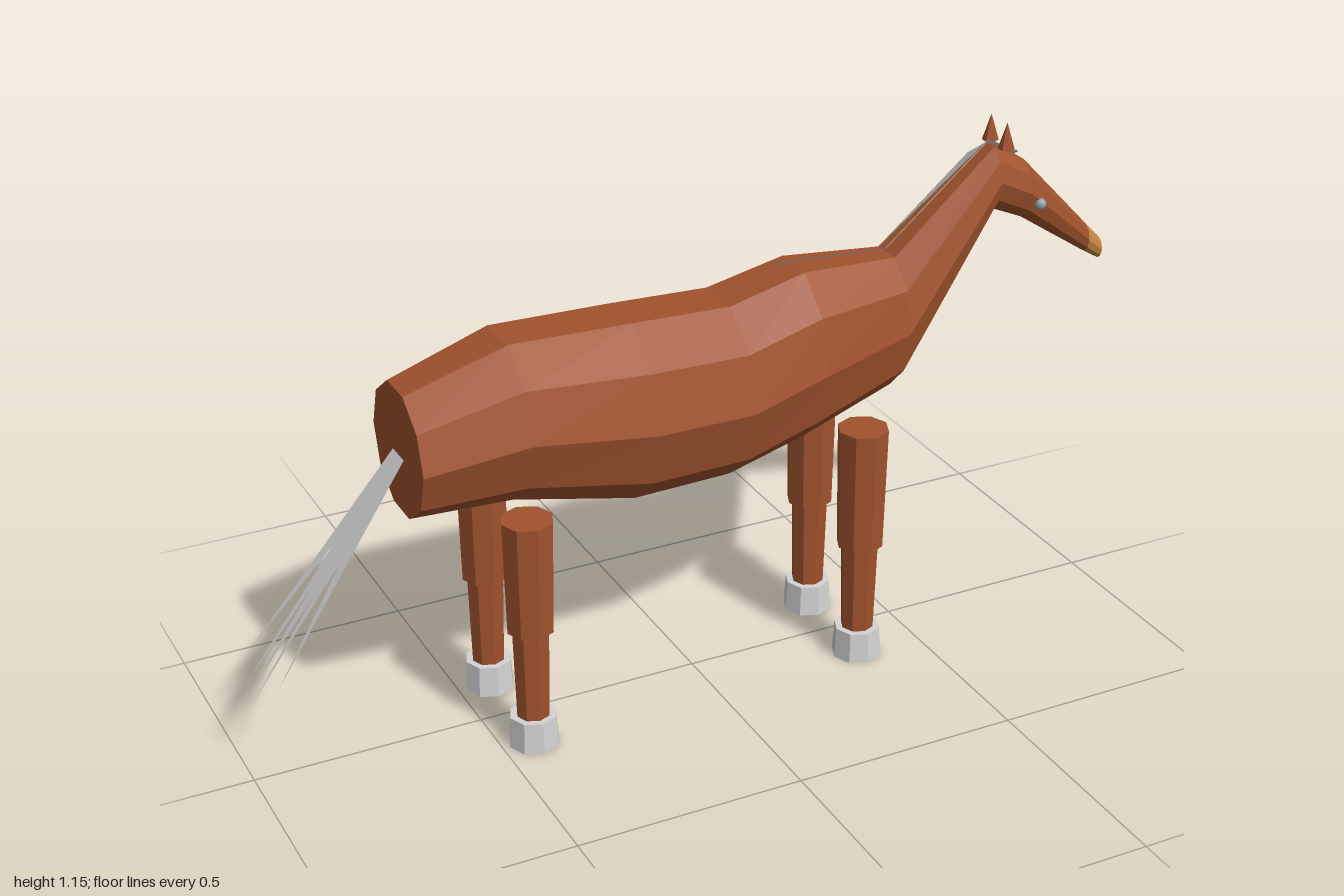
import * as THREE from 'three';

const colour = (name, hex, side = THREE.FrontSide) => {
  const m = new THREE.MeshStandardMaterial({ color: hex, side });
  m.name = name;
  return m;
};

// Facet a geometry so each face has its own normal
function flat(geo) {
  const g = geo.index ? geo.toNonIndexed() : geo;
  g.computeVertexNormals();
  return g;
}

// Ten-sided loft along x; each section is [x, top, bottom, halfWidth]
function loft(sections) {
  const N = 10, pos = [], idx = [];
  const last = sections.length - 1;
  const rise = Math.sin(Math.PI * 0.4);
  for (const [x, top, bottom, w] of sections) {
    for (let j = 0; j < N; j++) {
      const a = (j / N) * Math.PI * 2;
      pos.push(x, (top + bottom) / 2 + ((top - bottom) / 2 / rise) * Math.sin(a), w * Math.cos(a));
    }
  }
  for (let i = 0; i < last; i++) {
    for (let j = 0; j < N; j++) {
      const k = (j + 1) % N, a = i * N, b = a + N;
      idx.push(a + j, b + j, b + k, a + j, b + k, a + k);
    }
  }
  for (let j = 1; j < N - 1; j++) {
    idx.push(0, j, j + 1, last * N, last * N + j + 1, last * N + j);
  }
  const g = new THREE.BufferGeometry();
  g.setAttribute('position', new THREE.Float32BufferAttribute(pos, 3));
  g.setIndex(idx);
  return flat(g);
}

export function createModel() {
  const horse = new THREE.Group();
  horse.name = 'horse';
  const coat = colour('chestnut coat', 0xa0522d);
  const tan = colour('tan muzzle', 0xc68642);
  const hoofGrey = colour('hoof grey', 0xd3d3d3);
  const hair = colour('silver hair', 0xd3d3d3, THREE.DoubleSide);
  const eyeGrey = colour('eye grey', 0x8fa3a8);

  const add = (name, geo, mat, x = 0, y = 0, z = 0, parent = horse) => {
    const m = new THREE.Mesh(geo, mat);
    m.name = name;
    m.position.set(x, y, z);
    parent.add(m);
    return m;
  };

  // Body, neck and head in one run of cross-sections
  add('body', loft([
    [-0.65, 0.815, 0.545, 0.14],
    [-0.43, 0.885, 0.54, 0.168],
    [-0.16, 0.878, 0.48, 0.177],
    [0.06, 0.87, 0.485, 0.175],
    [0.235, 0.91, 0.53, 0.16],
    [0.46, 0.895, 0.6, 0.11],
    [0.705, 1.096, 0.957, 0.055],
    [0.78, 1.056, 0.925, 0.06],
    [0.96, 0.872, 0.807, 0.028],
  ]), coat);
  add('muzzle', loft([
    [0.96, 0.872, 0.807, 0.028],
    [1.0, 0.832, 0.783, 0.022],
  ]), tan);

  // Ears and eyes
  for (const s of [1, -1]) {
    add('ear', flat(new THREE.ConeGeometry(0.018, 0.058, 6)), coat, 0.725, 1.122, s * 0.031);
    add('eye', new THREE.SphereGeometry(0.013, 10, 8), eyeGrey, 0.805, 0.962, s * 0.055);
  }

  // Legs: thigh, shin and hoof
  const leg = (name, x, z, top) => {
    const g = new THREE.Group();
    g.name = name;
    g.position.set(x, 0, z);
    horse.add(g);
    const tube = (part, r1, r0, y0, y1, mat) =>
      add(part, flat(new THREE.CylinderGeometry(r1, r0, y1 - y0, 8)), mat, 0, (y0 + y1) / 2, 0, g);
    tube('upperLeg', 0.056, 0.051, 0.275, top, coat);
    tube('lowerLeg', 0.041, 0.036, 0.07, 0.275, coat);
    tube('hoof', 0.051, 0.055, 0, 0.07, hoofGrey);
  };
  for (const s of [1, -1]) {
    leg('frontLeg', 0.35, s * 0.113, 0.555);
    leg('hindLeg', -0.43, s * 0.122, 0.53);
  }

  // Mane: a sheet falling from the crest to the right side
  const crest = [[0.2, 0.92], [0.46, 0.902], [0.705, 1.105], [0.78, 1.067]];
  const manePos = [], maneIdx = [];
  crest.forEach(([x, y], i) => {
    manePos.push(x, y, -0.003, x, y - 0.056, -0.085);
    const a = i * 2;
    if (i < crest.length - 1) maneIdx.push(a, a + 2, a + 3, a, a + 3, a + 1);
  });
  const mane = new THREE.BufferGeometry();
  mane.setAttribute('position', new THREE.Float32BufferAttribute(manePos, 3));
  mane.setIndex(maneIdx);
  add('mane', flat(mane), hair);

  // Tail: a flat fan of five strands, given as [halfWidth, fraction of length]
  const half = [[0.03, 0], [0.088, 0.88], [0.03, 0.4], [0.031, 1], [0.012, 0.56]];
  const outline = [...half, [0, 1], ...half.slice().reverse().map(([z, t]) => [-z, t])];
  const tail = new THREE.ShapeGeometry(new THREE.Shape(outline.map(([z, t]) => new THREE.Vector2(z, t))));
  const p = tail.attributes.position;
  for (let i = 0; i < p.count; i++) {
    const z = p.getX(i), t = p.getY(i);
    p.setXYZ(i, -0.65 - 0.35 * t, 0.67 - 0.47 * t, z);
  }
  add('tail', flat(tail), hair);

  return horse;
}
